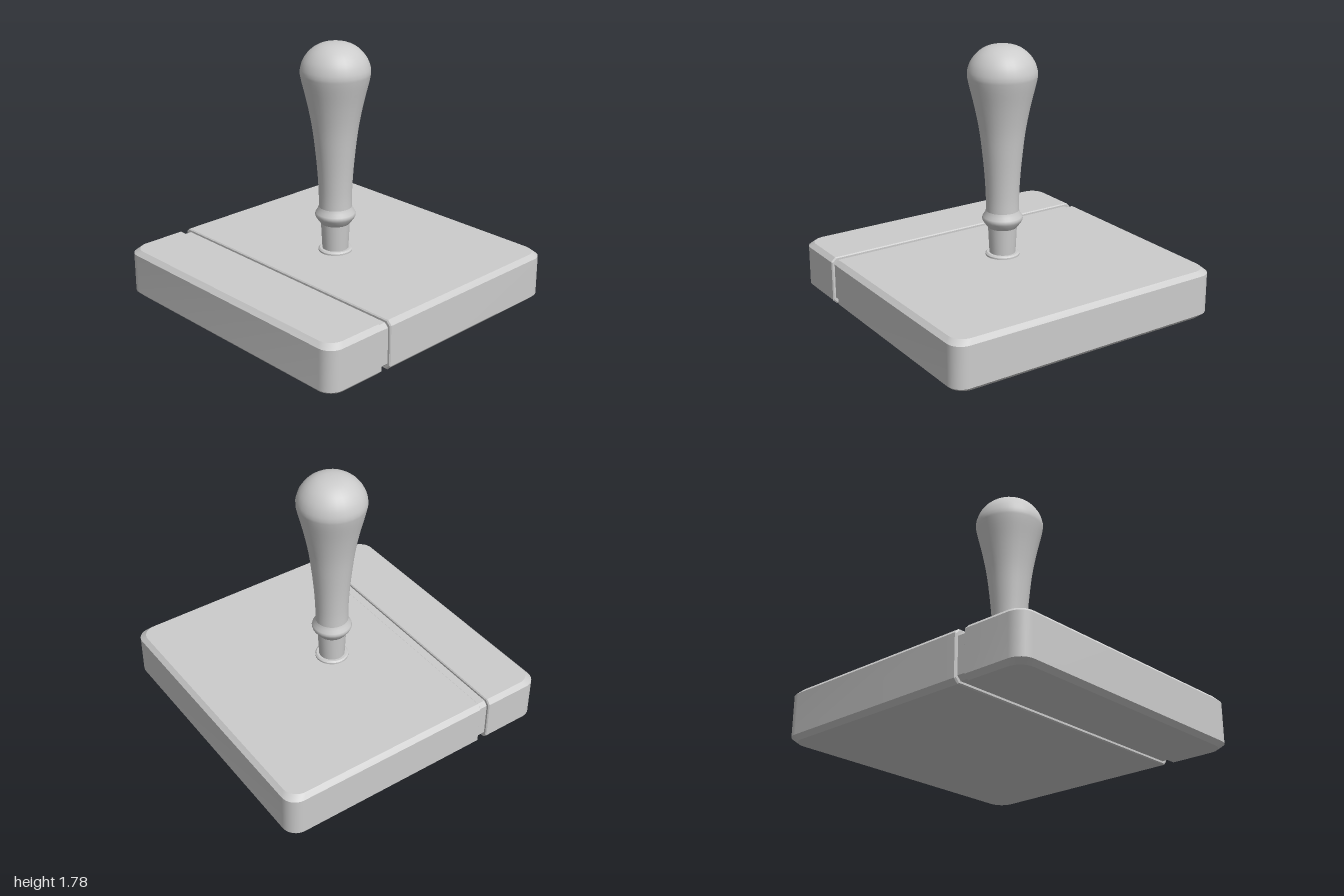
import * as THREE from 'three';
import { mergeVertices, toCreasedNormals } from 'three/addons/utils/BufferGeometryUtils.js';

const HEIGHT = 0.335, BEVEL = 0.03, CORNER = 0.1;
const GROOVE_LEFT = -0.495, GROOVE_RIGHT = -0.575;

// Joins equal-length rings of points; optional fan caps close convex ends.
function loft(rings, capped) {
  const n = rings[0].length, pos = [], index = [];
  rings.forEach(ring => ring.forEach(p => pos.push(...p)));
  for (let r = 0; r < rings.length - 1; r++) {
    for (let i = 0; i < n; i++) {
      const j = (i + 1) % n, a = r * n + i, b = r * n + j;
      index.push(a, b, b + n, a, b + n, a + n);
    }
  }
  if (capped) {
    const last = (rings.length - 1) * n;
    for (let i = 1; i < n - 1; i++) {
      index.push(0, i + 1, i, last, last + i, last + i + 1);
    }
  }
  const geo = new THREE.BufferGeometry();
  geo.setAttribute('position', new THREE.Float32BufferAttribute(pos, 3));
  geo.setIndex(index);
  return toCreasedNormals(mergeVertices(geo), 0.5);
}

// Plan outline from a straight inner edge to a rounded outer edge at x = side.
function planRing(side, innerX, y, inset) {
  const c = 1 - inset - CORNER, ring = [[innerX, y, 1 - inset]];
  for (const [sz, start] of [[1, Math.PI / 2], [-1, 0]]) {
    for (let i = 0; i <= 8; i++) {
      const a = start - (i / 8) * Math.PI / 2;
      ring.push([side * (c + CORNER * Math.cos(a)), y, sz * c + CORNER * Math.sin(a)]);
    }
  }
  ring.push([innerX, y, -(1 - inset)]);
  return side > 0 ? ring : ring.reverse();
}

function slab(side, innerX) {
  return loft([
    planRing(side, innerX, 0, BEVEL),
    planRing(side, innerX, BEVEL, 0),
    planRing(side, innerX, HEIGHT - BEVEL, 0),
    planRing(side, innerX, HEIGHT, BEVEL),
  ], true);
}

// Bevelled cross-section of the base at x, shrunk by d.
function crossSection(x, d) {
  const z = 1 - d, lo = d, hi = HEIGHT - d, b = BEVEL * 0.9;
  return [
    [x, lo, z - b], [x, lo, -z + b], [x, lo + b, -z], [x, hi - b, -z],
    [x, hi, -z + b], [x, hi, z - b], [x, hi - b, z], [x, lo + b, z],
  ];
}

export function createModel() {
  const model = new THREE.Group();
  model.name = 'handleOnBase';
  const material = new THREE.MeshStandardMaterial({ color: 0xcccccc });
  const add = (parent, name, geo) => {
    const mesh = new THREE.Mesh(geo, material);
    mesh.name = name;
    parent.add(mesh);
  };

  // Base: two slabs either side of a groove that runs all the way round
  const base = new THREE.Group();
  base.name = 'base';
  model.add(base);
  add(base, 'wideSlab', slab(1, GROOVE_LEFT));
  add(base, 'narrowSlab', slab(-1, GROOVE_RIGHT));
  add(base, 'groove', loft([
    crossSection(GROOVE_RIGHT, 0),
    crossSection(GROOVE_RIGHT + 0.007, 0.007),
    crossSection(GROOVE_RIGHT + 0.007, 0.02),
    crossSection(GROOVE_LEFT - 0.007, 0.02),
    crossSection(GROOVE_LEFT - 0.007, 0.007),
    crossSection(GROOVE_LEFT, 0),
  ], false));

  // Handle: collar, neck, ring, flared grip and domed top
  const points = list => list.map(([x, y]) => new THREE.Vector2(x, y));
  const lathe = list => new THREE.LatheGeometry(points(list), 28);
  const handle = new THREE.Group();
  handle.name = 'handle';
  model.add(handle);
  add(handle, 'collar', toCreasedNormals(lathe([
    [0.115, HEIGHT - 0.01], [0.115, 0.346], [0.105, 0.355], [0, 0.355],
  ]), 0.5));
  add(handle, 'neck', lathe([[0.088, 0.34], [0.092, 0.42], [0.098, 0.54]]));
  add(handle, 'ring', lathe([
    [0.098, 0.535], [0.112, 0.553], [0.131, 0.58], [0.137, 0.598],
    [0.133, 0.613], [0.12, 0.632], [0.112, 0.655],
  ]));
  const flare = new THREE.SplineCurve(points([
    [0.112, 0.65], [0.112, 0.75], [0.12, 0.9], [0.135, 1.06],
    [0.155, 1.22], [0.186, 1.38], [0.22, 1.52], [0.231, 1.575],
  ])).getPoints(24).map(p => [p.x, p.y]);
  const dome = new THREE.SplineCurve(points([
    [0.231, 1.575], [0.229, 1.61], [0.21, 1.665], [0.17, 1.719],
    [0.115, 1.758], [0.055, 1.776], [0, 1.78],
  ])).getPoints(18).map(p => [Math.max(p.x, 0), p.y]);
  add(handle, 'grip', lathe([...flare, ...dome.slice(1)]));

  return model;
}
